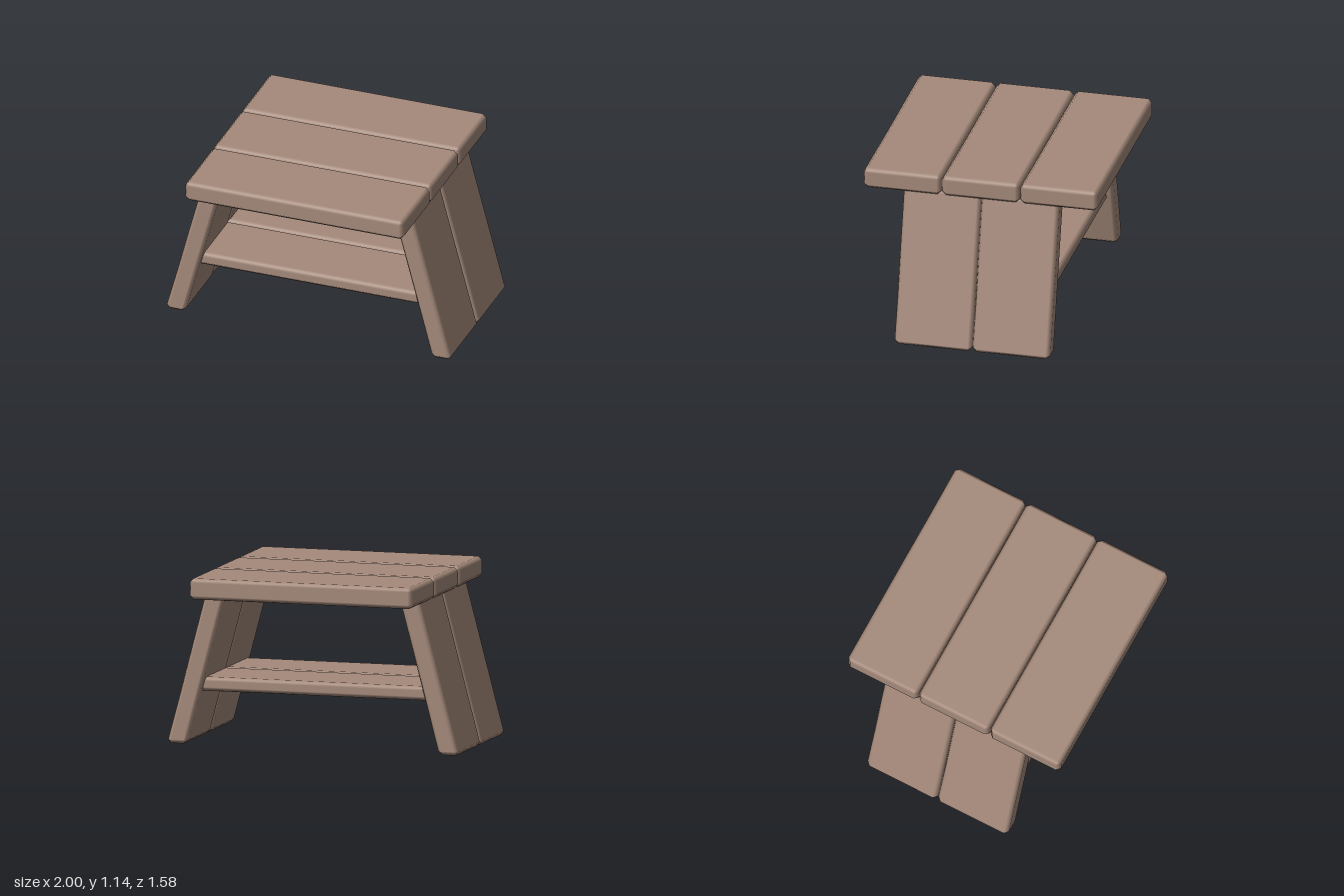
import * as THREE from 'three';

const wood = new THREE.MeshStandardMaterial({ color: 0xa58a7b });
wood.name = 'brown wood';

// Box with a softly shaded chamfer on every edge
function plankGeometry(w, h, d, c = 0.027) {
  const geo = new THREE.BoxGeometry(1, 1, 1, 3, 3, 3);
  const pos = geo.attributes.position, nor = geo.attributes.normal;
  const half = [w / 2, h / 2, d / 2];
  for (let i = 0; i < pos.count; i++) {
    const p = [pos.getX(i), pos.getY(i), pos.getZ(i)];
    const outer = p.map((v) => Math.abs(v) > 0.4);
    const n = outer.filter(Boolean).length;
    const inset = n === 1 ? 0 : n === 2 ? c / 2 : c * 2 / 3;
    const q = p.map((v, a) => Math.sign(v) * (half[a] - (outer[a] ? inset : c)));
    const m = new THREE.Vector3(...p.map((v, a) => (outer[a] ? Math.sign(v) : 0))).normalize();
    pos.setXYZ(i, ...q);
    nor.setXYZ(i, m.x, m.y, m.z);
  }
  return geo;
}

function addPlank(parent, name, geo, x, y, z) {
  const mesh = new THREE.Mesh(geo, wood);
  mesh.name = name;
  mesh.position.set(x, y, z);
  parent.add(mesh);
}

export function createModel() {
  const stool = new THREE.Group();
  stool.name = 'stepStool';

  // Three seat planks
  const seat = new THREE.Group();
  seat.name = 'seat';
  for (const i of [-1, 0, 1]) {
    addPlank(seat, 'seatPlank', plankGeometry(1.535, 0.14, 0.525), 0, 1.07, i * 0.53);
  }
  stool.add(seat);

  // Slanted legs, two planks each, cut level at the floor
  const legHeight = 1.03, lean = 0.265;
  for (const side of [-1, 1]) {
    const leg = new THREE.Group();
    leg.name = side > 0 ? 'leftLeg' : 'rightLeg';
    const shear = new THREE.Matrix4().set(
      1, -side * lean, 0, 0,
      0, 1, 0, 0,
      0, 0, 1, 0,
      0, 0, 0, 1);
    const x = side * (0.936 - lean * legHeight / 2);
    for (const z of [-0.264, 0.264]) {
      const geo = plankGeometry(0.139, legHeight, 0.525).applyMatrix4(shear);
      addPlank(leg, 'legPlank', geo, x, legHeight / 2, z);
    }
    stool.add(leg);
  }

  // Two shelf planks between the legs
  const shelf = new THREE.Group();
  shelf.name = 'shelf';
  for (const z of [-0.239, 0.239]) {
    addPlank(shelf, 'shelfPlank', plankGeometry(1.62, 0.094, 0.475), 0, 0.397, z);
  }
  stool.add(shelf);

  return stool;
}
